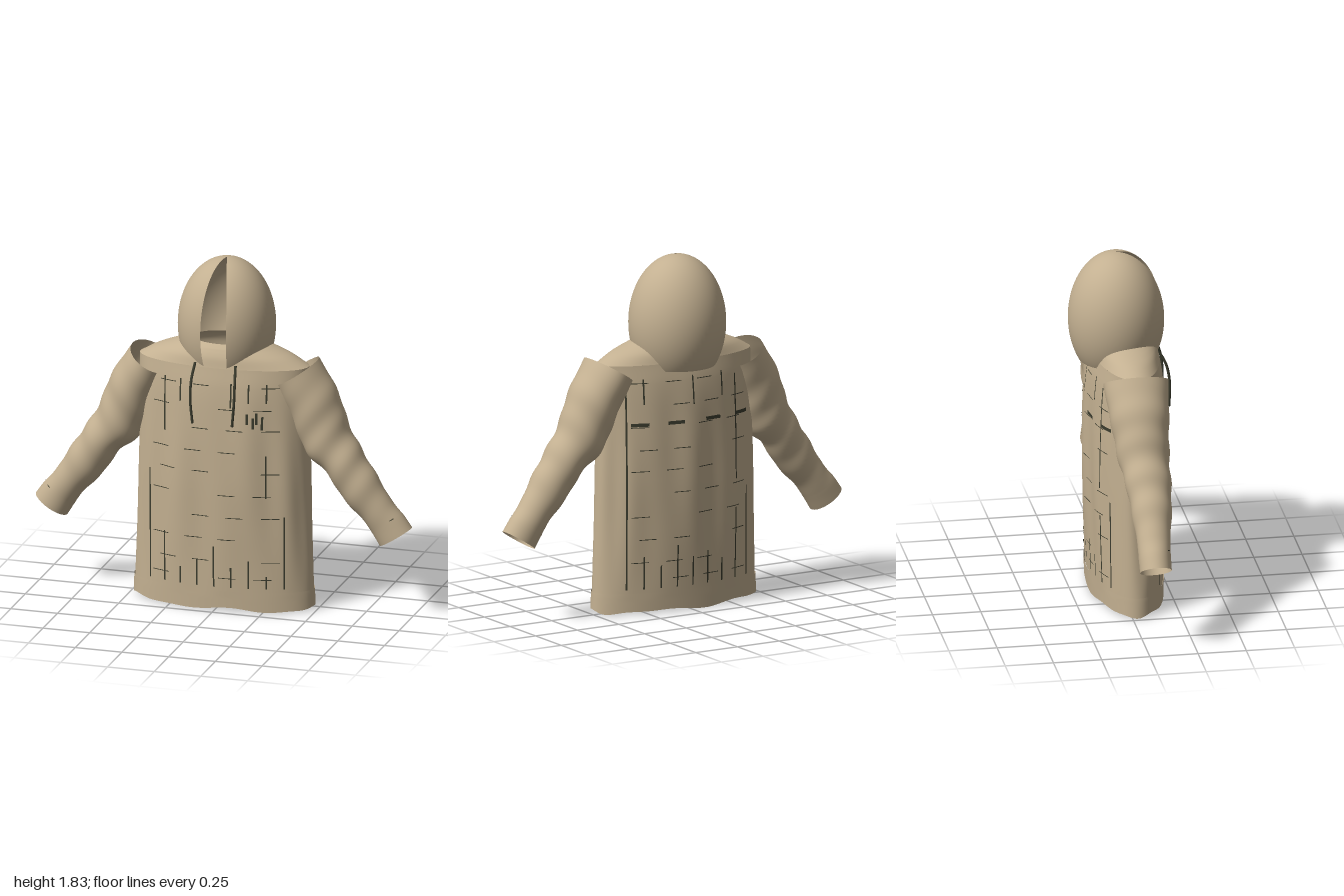
import * as THREE from 'three';
import { ParametricGeometry } from 'three/addons/geometries/ParametricGeometry.js';
import { mergeGeometries } from 'three/addons/utils/BufferGeometryUtils.js';

const khaki = new THREE.MeshStandardMaterial({ color: 0xc3b091, side: THREE.DoubleSide });
khaki.name = 'khaki cloth';
const dark = new THREE.MeshStandardMaterial({ color: 0x3b3c2e, side: THREE.DoubleSide });
dark.name = 'dark stitching';

const TAU = Math.PI * 2;
const CZ = 0.033;

// smooth interpolation through rows of [key, ...values]
function table(rows) {
  const n = rows[0].length - 1;
  const curve = new THREE.CubicInterpolant(
    rows.map((r) => r[0]), rows.flatMap((r) => r.slice(1)), n, new Float32Array(n));
  return (t) => curve.evaluate(t);
}

function surface(fn, slices, stacks) {
  return new ParametricGeometry(fn, slices, stacks);
}

function add(group, name, geometry, material) {
  const mesh = new THREE.Mesh(geometry, material);
  mesh.name = name;
  group.add(mesh);
  return mesh;
}

// torso cross-sections: height, half width, half depth
const torso = table([
  [0, 0.478, 0.184], [0.2, 0.472, 0.19], [0.45, 0.463, 0.199], [0.7, 0.457, 0.205],
  [1.0, 0.45, 0.2], [1.2, 0.45, 0.187], [1.3, 0.45, 0.17],
]);

// soft slanted folds, fading out at the hem and the shoulders
function fold(a, y) {
  const fade = Math.sin(Math.PI * THREE.MathUtils.clamp((y - 0.08) / 1.2, 0, 1));
  return fade * (0.022 * Math.sin(9 * a - 1.5 * y) + 0.014 * Math.sin(14 * a + 2 * y));
}

function torsoPoint(a, y, lift, target) {
  const [rx, rz] = torso(y);
  const k = fold(a, y);
  return target.set((rx + lift) * Math.sin(a) * (1 + k * 0.3), y,
    CZ + (rz + lift) * Math.cos(a) * (1 + k));
}

// thin strip lying on the torso, front (side 1) or back (side -1)
function strip(x0, x1, y0, y1, side) {
  return surface((u, v, p) => {
    const x = THREE.MathUtils.lerp(x0, x1, u);
    const y = THREE.MathUtils.lerp(y0, y1, v);
    const a = Math.asin(x / torso(y)[0]);
    torsoPoint(side > 0 ? a : Math.PI - a, y, 0.004, p);
  }, 4, 8);
}

const upright = (x, y0, y1, side) => strip(x - 0.004, x + 0.004, y0, y1, side);
const dash = (x, y, side) => strip(x - 0.045, x + 0.045, y - 0.002, y + 0.002, side);

// sleeve sections: distance, sag, radius across, radius in z, centre z
const sleeveSections = table([
  [0, 0, 0.122, 0.168, 0.03], [0.2, -0.012, 0.134, 0.15, 0.035],
  [0.38, -0.045, 0.13, 0.132, 0.042], [0.54, -0.026, 0.106, 0.115, 0.052],
  [0.68, -0.024, 0.106, 0.102, 0.055], [0.83, -0.01, 0.09, 0.086, 0.05],
  [0.91, -0.002, 0.094, 0.082, 0.046], [0.99, 0, 0.097, 0.08, 0.045],
]);

function sleevePoint(side, a, t, lift, p) {
  const [sag, rn, rz, cz] = sleeveSections(t);
  const wrinkle = t < 0.9 ? 0.004 * Math.sin(t * 38 + 2 * Math.sin(a)) * Math.sin(Math.PI * t / 0.9) : 0;
  const n = sag + (rn + wrinkle + lift) * Math.sin(a);
  return p.set(side * (0.39 + 0.536 * t + 0.844 * n), 1.27 - 0.844 * t + 0.536 * n,
    cz + (rz + wrinkle + lift) * Math.cos(a));
}

export function createModel() {
  const model = new THREE.Group();
  model.name = 'hoodedTop';

  // torso
  add(model, 'torso', surface((u, v, p) =>
    torsoPoint(u * TAU, 0.1 + 1.2 * v, 0, p), 128, 60), khaki);

  // hem band with a wavy lower edge
  add(model, 'hemBand', surface((u, v, p) => {
    const a = u * TAU;
    torsoPoint(a, 0.11 * v, 0.005, p);
    p.y += (1 - v) * (0.011 + 0.007 * Math.sin(5 * a + 0.8) + 0.004 * Math.sin(9 * a));
  }, 96, 4), khaki);

  // shoulder yoke rising to the open neck
  const yoke = table([[0, 0.45, 0.17, 1.3], [0.35, 0.36, 0.158, 1.35],
    [0.7, 0.25, 0.135, 1.39], [1, 0.165, 0.11, 1.412]]);
  add(model, 'shoulderYoke', surface((u, v, p) => {
    const [rx, rz, y] = yoke(v);
    p.set(rx * Math.sin(u * TAU), y, CZ + rz * Math.cos(u * TAU));
  }, 96, 12), khaki);

  // egg-shaped hood, open at the front and the bottom
  const gap = 0.28;
  const hood = add(model, 'hood', new THREE.SphereGeometry(
    1, 64, 40, Math.PI / 2 + gap, TAU - 2 * gap, 0, 2.24), khaki);
  hood.scale.set(0.252, 0.355, 0.247);
  hood.position.set(0, 1.48, -0.006);

  for (const side of [1, -1]) {
    const label = side > 0 ? 'left' : 'right';

    // sleeve with cuff
    add(model, label + 'Sleeve', surface((u, v, p) =>
      sleevePoint(side, u * TAU, 0.91 * v, 0, p), 48, 60), khaki);
    add(model, label + 'Cuff', surface((u, v, p) =>
      sleevePoint(side, u * TAU, 0.905 + 0.085 * v, 0.001, p), 48, 4), khaki);
    add(model, label + 'CuffStitch', surface((u, v, p) =>
      sleevePoint(side, 0.55 + 0.25 * u, 0.893 + 0.004 * v, 0.003, p), 6, 1), dark);

    // drawstring
    const cord = new THREE.CatmullRomCurve3([
      [0.108, 1.32, 0.195], [0.116, 1.24, 0.235], [0.117, 1.14, 0.252], [0.106, 1.01, 0.25],
    ].map(([x, y, z]) => new THREE.Vector3(side * x, y, z)));
    add(model, label + 'Drawstring', new THREE.TubeGeometry(cord, 24, 0.007, 8), dark);
  }

  // upright webbing lines: x, bottom, top
  const front = [
    [-0.355, 0.13, 0.72], [-0.27, 0.13, 0.4], [-0.27, 0.94, 1.23], [-0.18, 0.13, 0.22],
    [-0.18, 1.11, 1.23], [-0.09, 0.13, 0.27], [0, 0.13, 0.35], [0.09, 0.13, 0.24],
    [0.09, 1.1, 1.23], [0.18, 0.13, 0.28], [0.18, 1.13, 1.23], [0.27, 0.13, 0.2],
    [0.27, 0.62, 0.85], [0.27, 1.13, 1.23], [0.355, 0.13, 0.52],
  ];
  const back = [
    [0.355, 0.13, 1.23], [0.27, 0.13, 0.3], [0.27, 1.1, 1.23], [0.18, 0.13, 0.25],
    [0.09, 0.13, 0.35], [0, 0.13, 0.28], [0, 1.08, 1.23], [-0.09, 0.13, 0.3],
    [-0.18, 0.13, 0.25], [-0.18, 1.1, 1.23], [-0.27, 0.13, 0.5], [-0.27, 0.65, 1.2],
    [-0.355, 0.13, 0.6],
  ];
  const rows = [0.18, 0.27, 0.39, 0.51, 0.63, 0.75, 0.86, 0.98, 1.09, 1.21];
  for (const [name, side, lines] of [['front', 1, front], ['back', -1, back]]) {
    const pieces = lines.map(([x, y0, y1]) => upright(x, y0, y1, side));
    // broken horizontal stitching
    rows.forEach((y, r) => {
      for (let c = 0; c < 4; c++) {
        if ((r * 5 + c * 3 + side) % 4 === 0) continue;
        pieces.push(dash(-0.29 + c * 0.18 + (r % 2) * 0.04, y, side));
      }
    });
    add(model, name + 'Webbing', mergeGeometries(pieces), dark);
  }

  // small chest stitches and a broken band across the back
  const chest = [[0.175, 1.02, 1.075], [0.205, 0.995, 1.055], [0.222, 1.02, 1.08], [0.25, 0.99, 1.06]]
    .map(([x, y0, y1]) => strip(x - 0.006, x + 0.006, y0, y1, 1));
  add(model, 'chestStitches', mergeGeometries(chest), dark);
  const band = [0.29, 0.1, -0.12, -0.31].map((x) => strip(x - 0.045, x + 0.045, 0.985, 1.003, -1));
  add(model, 'backBand', mergeGeometries(band), dark);

  return model;
}
